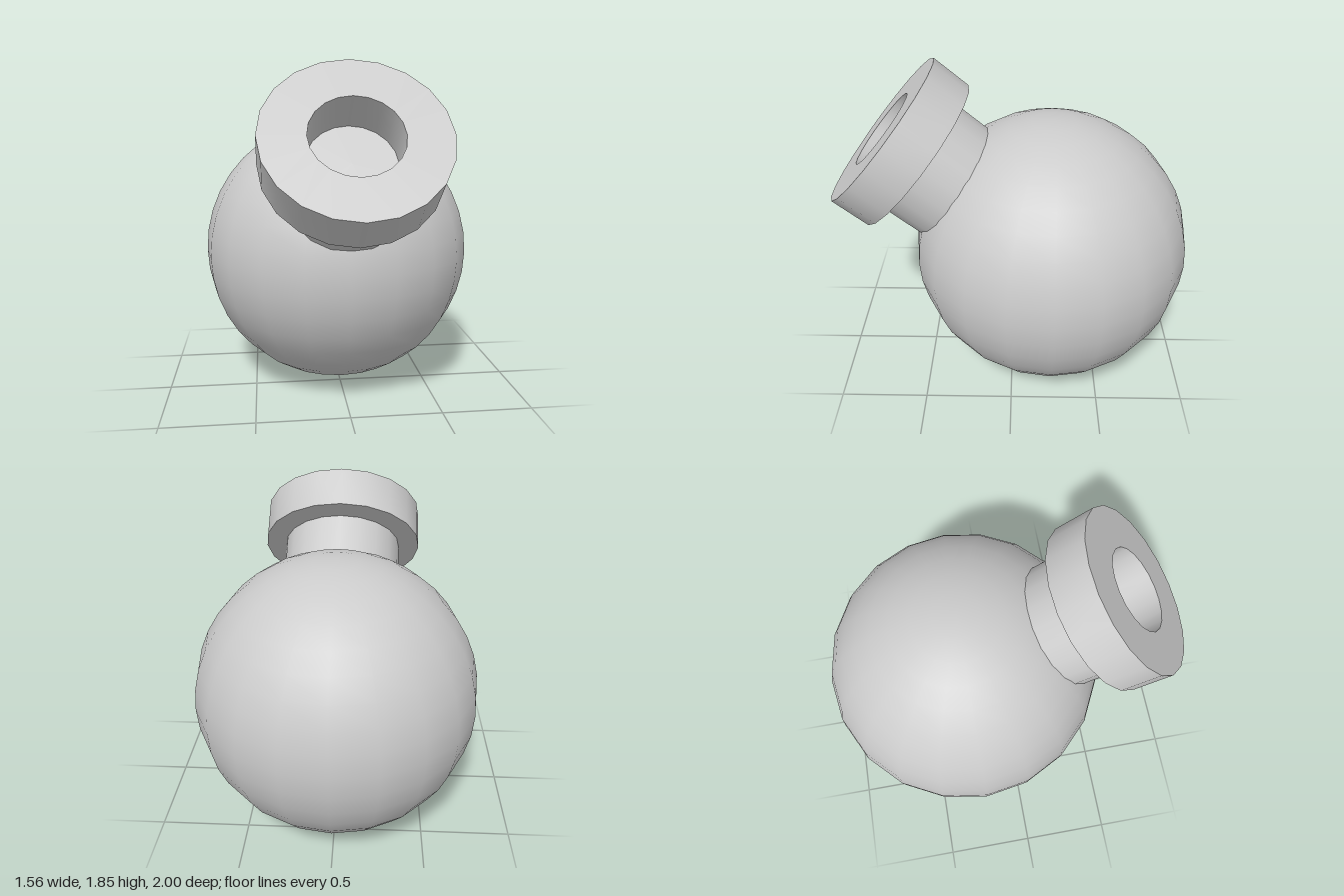
import * as THREE from 'three';
import { toCreasedNormals } from 'three/addons/utils/BufferGeometryUtils.js';

const SIDES = 20;

export function createModel() {
  const model = new THREE.Group();
  const material = new THREE.MeshStandardMaterial({ color: 0xcccccc });

  const add = (parent, name, geometry) => {
    const mesh = new THREE.Mesh(geometry, material);
    mesh.name = name;
    parent.add(mesh);
    return mesh;
  };

  // Round body
  add(model, 'body', new THREE.SphereGeometry(0.778, SIDES, 20)).position.set(0, 0.78, -0.22);

  // Tilted spout: local y runs out along the neck, origin at the centre of the rim face
  const spout = new THREE.Group();
  spout.name = 'spout';
  spout.position.set(0, 1.5, 0.7);
  spout.rotation.x = THREE.MathUtils.degToRad(50);
  model.add(spout);

  // Neck sinks into the body; its outer cap is the floor of the opening
  const rimDepth = 0.23, neckLength = 0.45;
  add(spout, 'neck', new THREE.CylinderGeometry(0.345, 0.345, neckLength, SIDES))
    .position.y = -rimDepth - neckLength / 2;

  // Thick rim with a round opening
  const profile = [[0.233, -rimDepth], [0.466, -rimDepth], [0.466, 0], [0.233, 0], [0.233, -rimDepth]]
    .map(([r, y]) => new THREE.Vector2(r, y));
  add(spout, 'rim', toCreasedNormals(new THREE.LatheGeometry(profile, SIDES), 0.6));

  return model;
}
